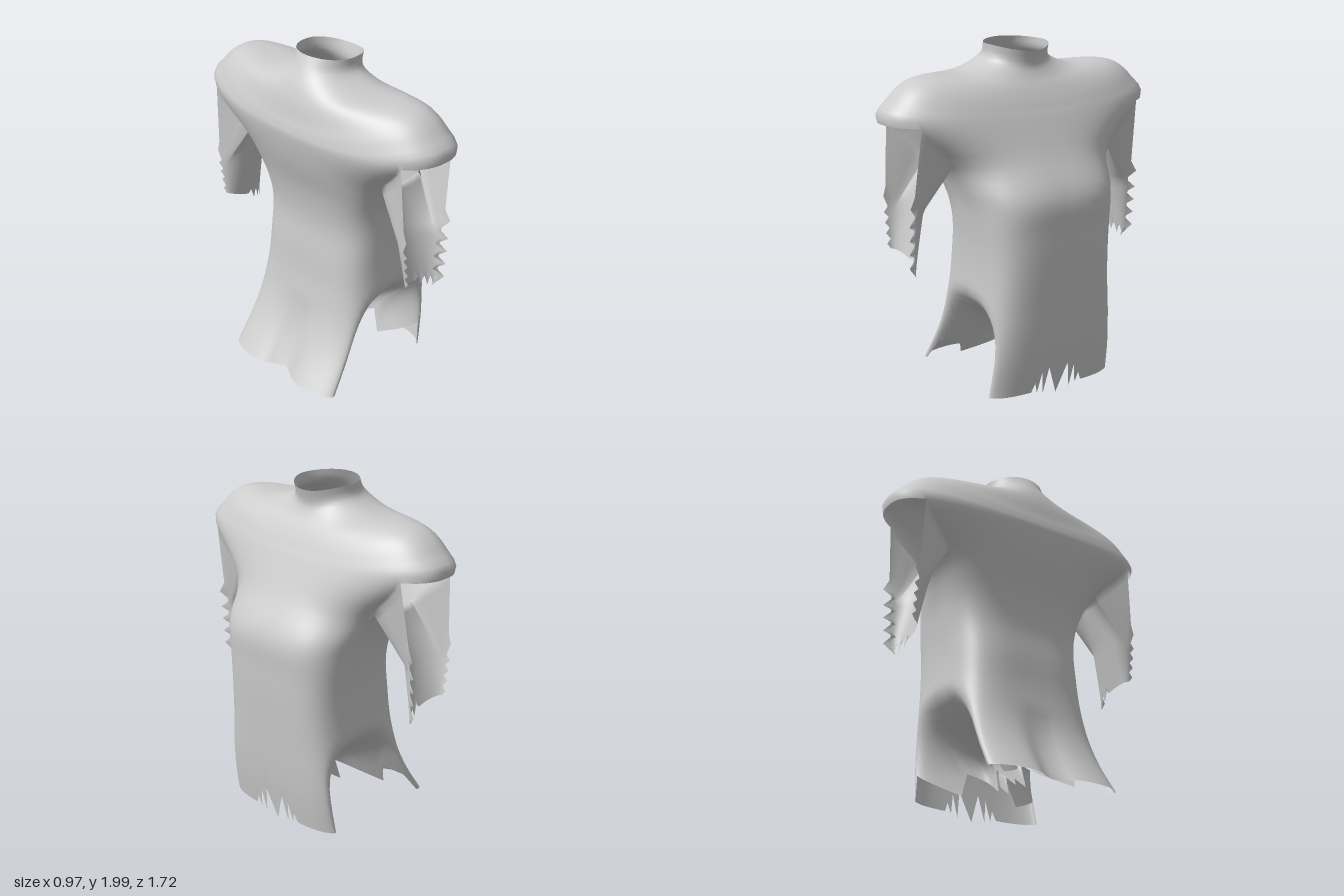
import * as THREE from 'three';
import { mergeGeometries, mergeVertices } from 'three/addons/utils/BufferGeometryUtils.js';

const COLS = 144, SUB = 4;   // columns round the body, rows per ring interval
const ARM = [24, 48];        // columns of the left armhole
const CAP = 6, PIT = 7;      // rings at the shoulder cap rim and the armpit
const TEAR = 11.5 * SUB;     // row below which the hem is trimmed

// Rings: front x, front y, back x, back y, side z, side y,
// roundness (1 ellipse, .5 boxy), crowding of columns to front, back and sides
const RINGS = [
  [0.16, 1.96, -0.20, 2.00, 0.185, 1.99, 1, 0],
  [0.14, 1.88, -0.24, 1.93, 0.20, 1.91, 1, 0],
  [0.16, 1.82, -0.285, 1.85, 0.35, 1.85, 0.95, 0],
  [0.20, 1.76, -0.315, 1.77, 0.55, 1.85, 0.9, 0],
  [0.235, 1.70, -0.335, 1.68, 0.68, 1.825, 0.85, 0],
  [0.26, 1.65, -0.35, 1.62, 0.785, 1.74, 0.82, -0.05],
  [0.285, 1.60, -0.352, 1.56, 0.85, 1.61, 0.82, -0.1],
  [0.37, 1.41, -0.315, 1.40, 0.545, 1.37, 0.75, 0.2],
  [0.48, 1.20, -0.25, 1.20, 0.445, 1.20, 0.6, 0.18],
  [0.48, 1.00, -0.22, 1.00, 0.41, 1.00, 0.55, 0.18],
  [0.47, 0.80, -0.235, 0.80, 0.40, 0.80, 0.5, 0.18],
  [0.455, 0.60, -0.25, 0.60, 0.41, 0.60, 0.47, 0.18],
  [0.44, 0.40, -0.29, 0.40, 0.435, 0.40, 0.45, 0.18],
  [0.42, 0.22, -0.37, 0.22, 0.46, 0.22, 0.45, 0.18],
  [0.385, 0.01, -0.51, 0.01, 0.48, 0.01, 0.45, 0.18],
];

const { smoothstep, lerp, clamp } = THREE.MathUtils;
const signedPow = (v, p) => Math.sign(v) * Math.pow(Math.abs(v), p);

// Smooth ring values between the table entries
function ringAt(row) {
  const k = Math.min(Math.floor(row / SUB), RINGS.length - 2), t = row / SUB - k;
  const at = (i) => RINGS[clamp(i, 0, RINGS.length - 1)];
  return RINGS[k].map((_, c) => {
    const p = at(k)[c], q = at(k + 1)[c];
    const m = (q - at(k - 1)[c]) / 2, n = (at(k + 2)[c] - p) / 2;
    const t2 = t * t, t3 = t2 * t;
    return (2 * t3 - 3 * t2 + 1) * p + (t3 - 2 * t2 + t) * m + (3 * t2 - 2 * t3) * q + (t3 - t2) * n;
  });
}

// Height torn off the hem: teeth at the front centre and along the tucked sides
function hemTear(col, u) {
  const d = Math.min(col, COLS - col);
  if (d < 6) return [0, 0.17, 0.02, 0.15, 0.04, 0.1][d];
  if (u > 0.8 || u < -0.76) return 0.05;
  const v = (u + 0.22) / 0.375;
  return 0.08 + 0.14 * (v - Math.floor(v));
}

function bodyPoint(fullRow, col) {
  const angle = (col / COLS) * Math.PI * 2;
  const across = (r) => {
    const ring = ringAt(r), a = angle - ring[7] * Math.sin(4 * angle);
    return [ring, Math.cos(a), Math.sin(a), signedPow(Math.cos(a), ring[6])];
  };
  let row = fullRow;
  if (row > TEAR) row = TEAR + (row - TEAR) * (1 - 2 * hemTear(col, across(row)[3]));
  const [[fx, fy, bx, by, sz, sy, p], c, s, u] = across(row);
  const mid = lerp(-0.03, (fx + bx) / 2, smoothstep(row / SUB, PIT, PIT + 2));
  let x = mid + u * (u > 0 ? fx - mid : mid - bx);
  const y = lerp(c > 0 ? fy : by, sy, s * s);
  let z = sz * signedPow(s, p);
  // Sides tuck in between the front panel and the back flap
  const tuck = 1 - smoothstep(Math.abs(u), 0.32, 0.88);
  z *= 1 - 0.93 * tuck * (1 - smoothstep(y + 0.15 * u * u, 0.24, 0.64));
  // Scalloped middle of the back flap
  const low = clamp((0.5 - y) / 0.44, 0, 1);
  if (u < 0) x += 0.08 * low * Math.exp(-((z / 0.1) ** 2)) * smoothstep(-u, 0.6, 0.95);
  return [x, y, z];
}

// Skin over rows of points
function sheet(rows, { closed = false, flip = false, skip = () => false } = {}) {
  const w = rows[0].length, index = [];
  for (let i = 0; i < rows.length - 1; i++) {
    for (let j = 0; j < (closed ? w : w - 1); j++) {
      if (skip(i, j)) continue;
      const k = (j + 1) % w;
      const a = i * w + j, b = a + w, c = i * w + k, d = c + w;
      if (flip) index.push(a, b, c, c, b, d);
      else index.push(a, c, b, c, d, b);
    }
  }
  const g = new THREE.BufferGeometry();
  g.setAttribute('position', new THREE.Float32BufferAttribute(rows.flat(2), 3));
  g.setIndex(index);
  return g;
}

function bodyGeometry() {
  const rows = [];
  for (let i = 0; i <= (RINGS.length - 1) * SUB; i++) {
    rows.push(Array.from({ length: COLS }, (_, j) => bodyPoint(i, j)));
  }
  const skip = (i, j) => {
    const h = j % (COLS / 2);
    return i >= CAP * SUB && i < PIT * SUB && h >= ARM[0] && h < ARM[1];
  };
  return sheet(rows, { closed: true, skip });
}

// Sleeve remnant: a channel hanging from the armpit, open to the outside
function sleeveGeometry(side) {
  const top = [];
  for (let i = CAP * SUB; i < PIT * SUB; i++) top.push(bodyPoint(i, ARM[0]));
  for (let j = ARM[0]; j <= ARM[1]; j++) top.push(bodyPoint(PIT * SUB, j));
  for (let i = PIT * SUB - 1; i >= CAP * SUB; i--) top.push(bodyPoint(i, ARM[1]));
  const n = top.length - 1;
  const channel = (mid, half, edge, inner, y, tilt) => top.map((_, i) => {
    const a = (Math.PI * i) / n;
    return [mid + half * Math.cos(a), y - tilt * Math.cos(a), edge - (edge - inner) * Math.sin(a)];
  });
  const keys = [top, channel(-0.06, 0.155, 0.75, 0.625, 1.1, 0), channel(-0.055, 0.13, 0.745, 0.69, 0.82, 0.04)];
  const rows = [], steps = 8;
  for (let r = 0; r <= 2 * steps; r++) {
    const k = Math.min(Math.floor(r / steps), 1), t = r / steps - k;
    const row = keys[k].map((p, i) => p.map((v, c) => lerp(v, keys[k + 1][i][c], t)));
    // Torn long edges
    if (r > 6) {
      const tear = r % 2 ? 0.03 : -0.03;
      row[0][2] += tear;
      row[0][0] += tear * 0.6;
      row[n][2] += tear * 0.5;
    }
    // Torn cuff
    if (r === 2 * steps) row.forEach((p, i) => { p[1] += i < n / 2 ? [-0.03, 0, 0.03, 0.01][i % 4] : 0; });
    rows.push(row.map(([x, y, z]) => [x, y, z * side]));
  }
  return sheet(rows, { flip: side > 0 });
}

export function createModel() {
  const group = new THREE.Group();
  group.name = 'tornShirt';
  const cloth = new THREE.MeshStandardMaterial({ color: 0xcccccc, side: THREE.DoubleSide });
  // Body and sleeves share their seam vertices so the cloth shades smoothly across
  const parts = mergeGeometries([bodyGeometry(), sleeveGeometry(1), sleeveGeometry(-1)]);
  const garment = mergeVertices(parts, 1e-4);
  garment.computeVertexNormals();
  const shirt = new THREE.Mesh(garment, cloth);
  shirt.name = 'shirtBodyAndSleeves';
  group.add(shirt);
  return group;
}
